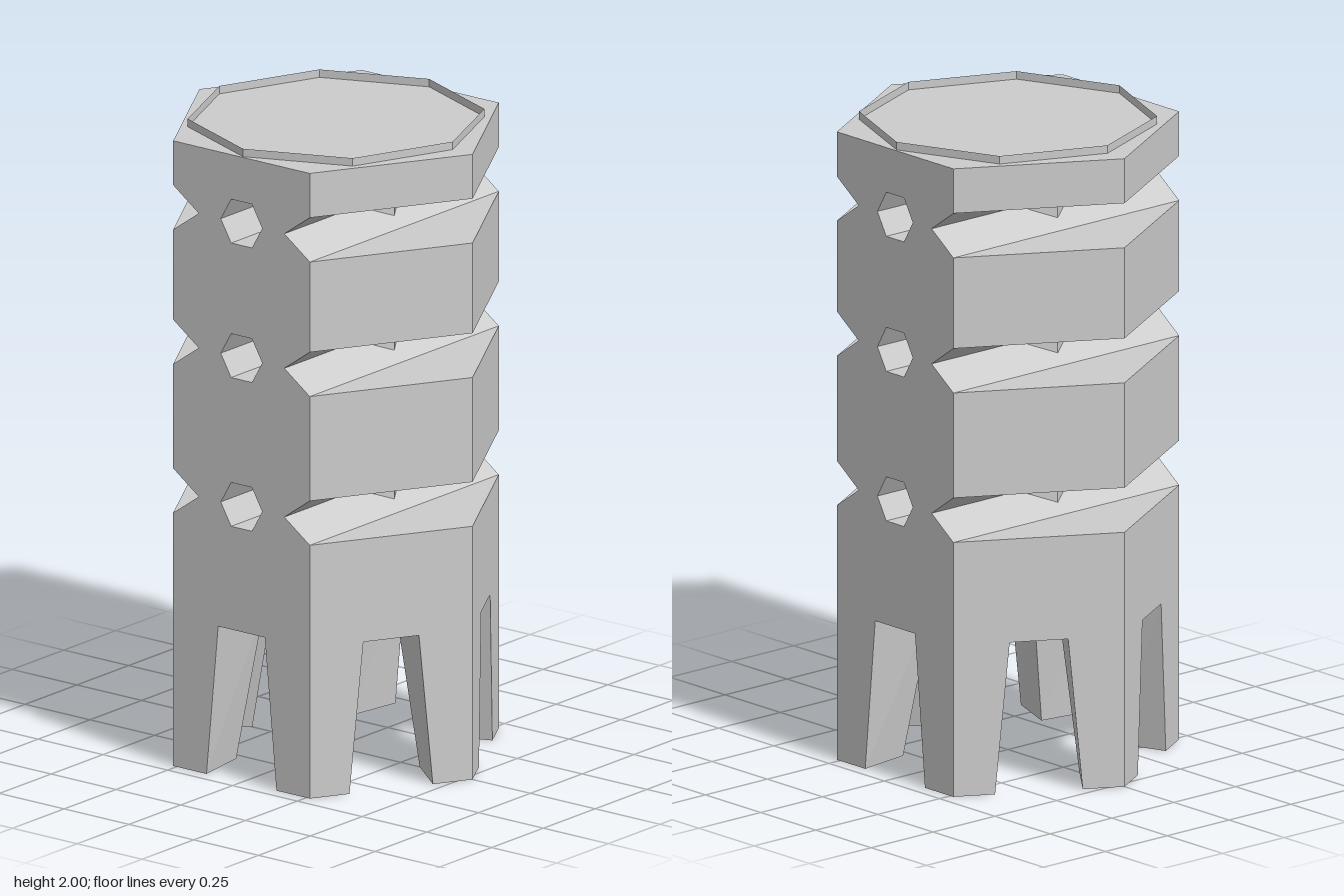
import * as THREE from 'three';

const R = 0.527;                       // corner radius of the hexagonal body
const A = R * Math.cos(Math.PI / 6);   // distance from centre to a flat
const CORE = 0.225;                    // corner radius of the inner core
const CORE_A = CORE * Math.cos(Math.PI / 6);
const LEG_TOP = 0.475, TOP = 1.975;
const GROOVES = [0.87, 1.34, 1.765];   // groove centre heights
const G = 0.07;                        // half height of a groove

const mat = new THREE.MeshStandardMaterial({ color: 0xcccccc, flatShading: true });
const thinMat = new THREE.MeshStandardMaterial({ color: 0xcccccc, flatShading: true, side: THREE.DoubleSide });

function add(parent, name, geometry, material = mat) {
  const mesh = new THREE.Mesh(geometry, material);
  mesh.name = name;
  parent.add(mesh);
  return mesh;
}

// upright hexagonal prism with corners on the x axis
function hexPrism(radius, y0, y1) {
  return new THREE.CylinderGeometry(radius, radius, y1 - y0, 6)
    .rotateY(Math.PI / 6)
    .translate(0, (y0 + y1) / 2, 0);
}

// block between two side grooves, extruded along z, optionally with a hexagonal bore
function grooveSlab(y, z0, z1, bored) {
  const e = R / 2, apex = 0.165;
  const shape = new THREE.Shape([
    [-e, -G], [e, -G], [apex, 0], [e, G], [-e, G], [-apex, 0],
  ].map(([px, py]) => new THREE.Vector2(px, py)));
  if (bored) {
    const pts = [];
    for (let i = 0; i < 6; i++) {
      const a = -i * Math.PI / 3;
      pts.push(new THREE.Vector2(0.08 * Math.cos(a), 0.0692 * Math.sin(a) / Math.sin(Math.PI / 3)));
    }
    shape.holes.push(new THREE.Path(pts));
  }
  return new THREE.ExtrudeGeometry(shape, { depth: z1 - z0, bevelEnabled: false }).translate(0, y, z0);
}

// kite-shaped leg at a corner, thicker towards the top
function legGeometry() {
  const section = (slotHalf, inner, y) => {
    const along = A * Math.cos(Math.PI / 6) + slotHalf / 2;
    const side = A / 2 - slotHalf * Math.cos(Math.PI / 6);
    return [R, y, 0, along, y, side, inner, y, 0, along, y, -side];
  };
  const index = [0, 1, 2, 0, 2, 3, 4, 6, 5, 4, 7, 6];
  for (let i = 0; i < 4; i++) {
    const j = (i + 1) % 4;
    index.push(i, i + 4, j, i + 4, j + 4, j);
  }
  const g = new THREE.BufferGeometry();
  g.setAttribute('position', new THREE.Float32BufferAttribute(
    [...section(0.135, 0.323, 0), ...section(0.09, 0.231, LEG_TOP)], 3));
  g.setIndex(index);
  const flat = g.toNonIndexed();
  flat.computeVertexNormals();
  return flat;
}

export function createModel() {
  const model = new THREE.Group();
  model.name = 'hexagonalColumn';

  // solid body sections between the grooves
  let y0 = LEG_TOP;
  for (const y of [...GROOVES, TOP + G]) {
    add(model, 'bodySection', hexPrism(R, y0, y - G));
    y0 = y + G;
  }

  // grooved bands with bores in the front and back
  for (const y of GROOVES) {
    const band = new THREE.Group();
    band.name = 'groovedBand';
    add(band, 'frontSlab', grooveSlab(y, CORE_A, A, true));
    add(band, 'middleSlab', grooveSlab(y, -CORE_A, CORE_A, false));
    add(band, 'backSlab', grooveSlab(y, -A, -CORE_A, true));
    add(band, 'core', hexPrism(CORE, y - G, y + G));
    model.add(band);
  }

  // six corner legs
  const leg = legGeometry();
  for (let i = 0; i < 6; i++) add(model, 'leg', leg).rotation.y = i * Math.PI / 3;

  // thin octagonal rim on top
  add(model, 'topRim', new THREE.CylinderGeometry(0.45, 0.45, 2 - TOP, 8, 1, true)
    .translate(0, (2 + TOP) / 2, 0), thinMat);

  return model;
}
